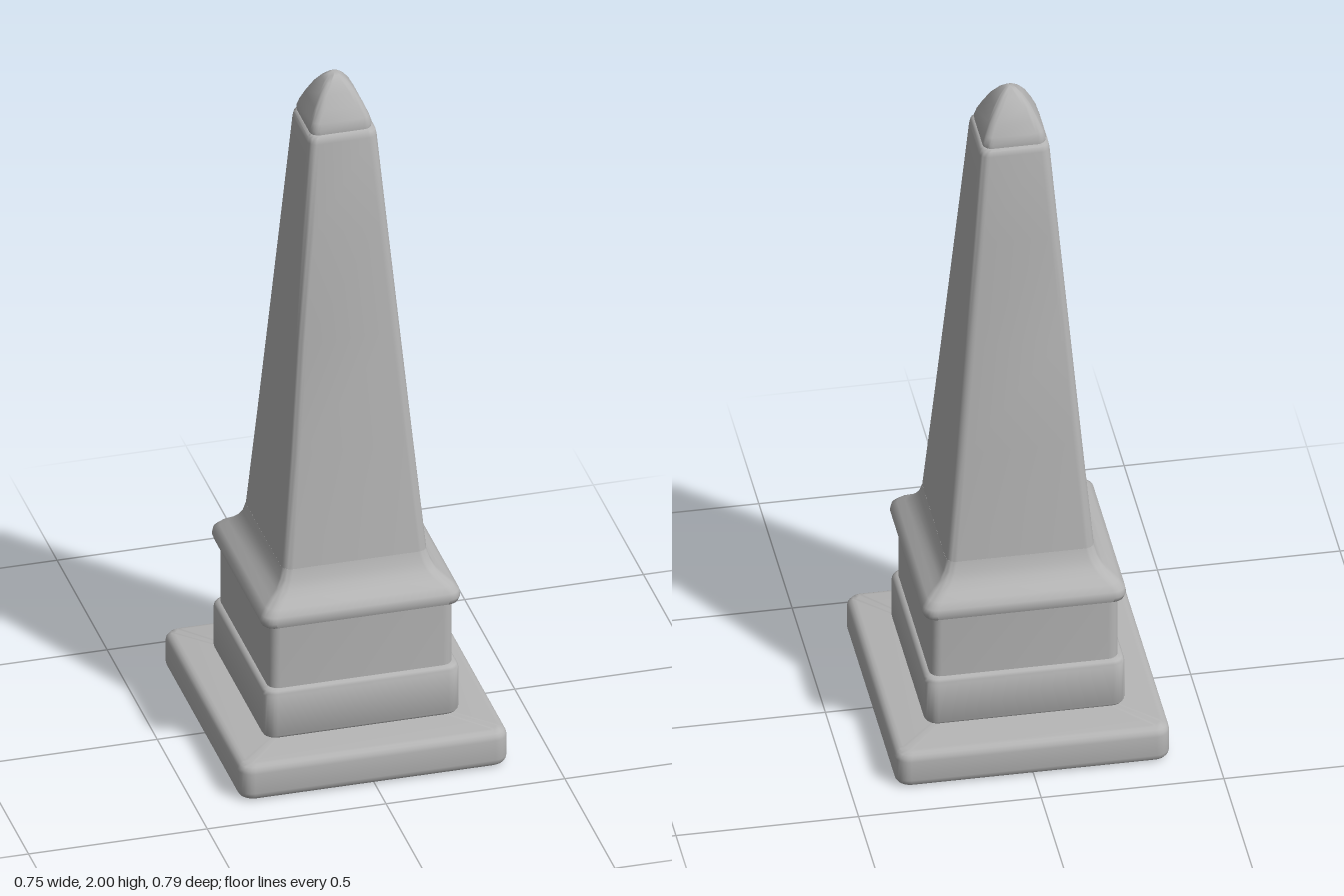
import * as THREE from 'three';
import { toCreasedNormals } from 'three/addons/utils/BufferGeometryUtils.js';

const CORNER_STEPS = 6;

// One rounded-rectangle cross-section at height y.
function ring(hx, hz, r, y, cx = 0, cz = 0) {
  const pts = [];
  for (let c = 0; c < 4; c++) {
    const sx = c === 0 || c === 3 ? 1 : -1;
    const sz = c < 2 ? 1 : -1;
    for (let i = 0; i <= CORNER_STEPS; i++) {
      const a = (c + i / CORNER_STEPS) * Math.PI / 2;
      pts.push(new THREE.Vector3(
        cx + sx * (hx - r) + r * Math.cos(a), y, cz + sz * (hz - r) + r * Math.sin(a)));
    }
  }
  return pts;
}

// Skin a list of cross-sections, closed at both ends.
function loft(rings, crease = 0.85) {
  const middle = (pts) => {
    const m = pts.reduce((s, p) => s.add(p), new THREE.Vector3()).divideScalar(pts.length);
    return pts.map(() => m);
  };
  const all = [middle(rings[0]), ...rings, middle(rings[rings.length - 1])];
  const pos = [];
  const tri = (a, b, c) => {
    if (new THREE.Triangle(a, b, c).getArea() > 1e-9) {
      for (const p of [a, b, c]) pos.push(p.x, p.y, p.z);
    }
  };
  for (let k = 0; k + 1 < all.length; k++) {
    const lo = all[k], hi = all[k + 1], n = lo.length;
    for (let i = 0; i < n; i++) {
      const j = (i + 1) % n;
      tri(lo[i], hi[i], lo[j]);
      tri(lo[j], hi[i], hi[j]);
    }
  }
  const g = new THREE.BufferGeometry();
  g.setAttribute('position', new THREE.Float32BufferAttribute(pos, 3));
  return toCreasedNormals(g, crease);
}

// Block with softened top and bottom edges.
function softBlock(hx, hz, r, y0, y1, bevel) {
  const rings = [];
  for (const [y, dir] of [[y0, 1], [y1, -1]]) {
    for (let i = 0; i <= 4; i++) {
      const a = (dir > 0 ? i : 4 - i) / 4 * Math.PI / 2;
      const inset = bevel * (1 - Math.sin(a));
      rings.push(ring(hx - inset, hz - inset, r - inset * 0.6, y + dir * bevel * (1 - Math.cos(a))));
    }
  }
  return loft(rings);
}

export function createModel() {
  const group = new THREE.Group();
  const stone = new THREE.MeshStandardMaterial({ color: 0xb4b4b4 });
  stone.name = 'grey stone';
  const add = (name, geometry) => {
    const mesh = new THREE.Mesh(geometry, stone);
    mesh.name = name;
    group.add(mesh);
  };

  // Stepped pedestal
  add('baseSlab', softBlock(0.376, 0.396, 0.04, 0, 0.11, 0.025));
  add('plinth', softBlock(0.275, 0.273, 0.036, 0.108, 0.262, 0.02));
  add('dado', loft([
    ring(0.258, 0.258, 0.03, 0.25),
    ring(0.258, 0.258, 0.03, 0.46),
  ]));

  // Moulding sweeping up into the tapered shaft: [half width, corner radius, y]
  const corniceProfile = [
    [0.262, 0.03, 0.45], [0.274, 0.035, 0.455], [0.279, 0.036, 0.47],
    [0.276, 0.036, 0.487], [0.262, 0.034, 0.503], [0.242, 0.032, 0.518],
    [0.224, 0.03, 0.537], [0.211, 0.028, 0.56], [0.203, 0.027, 0.59],
  ];
  add('cornice', loft(corniceProfile.map(([h, r, y]) => ring(h, h - 0.003, r, y))));

  const shaftProfile = [
    [0.203, 0.027, 0.588], [0.174, 0.027, 0.92], [0.146, 0.027, 1.25],
    [0.119, 0.027, 1.57], [0.097, 0.027, 1.835], [0.094, 0.026, 1.85], [0.088, 0.025, 1.856],
  ];
  add('shaft', loft(shaftProfile.map(([h, r, y]) => {
    const t = (y - 0.588) / 1.27;
    return ring(h, h - 0.003 * (1 - t), r, y, -0.003 * t, -0.004 * t);
  })));

  // Pointed cap with rounded shoulders
  const capProfile = [
    [0.085, 0.024, 1.85], [0.087, 0.025, 1.868], [0.081, 0.024, 1.888],
    [0.067, 0.022, 1.92], [0.049, 0.02, 1.955], [0.031, 0.017, 1.98],
    [0.016, 0.012, 1.994], [0.005, 0.005, 2],
  ];
  add('cap', loft(capProfile.map(([h, r, y]) => ring(h, h, r, y, -0.004, -0.006))));

  return group;
}
